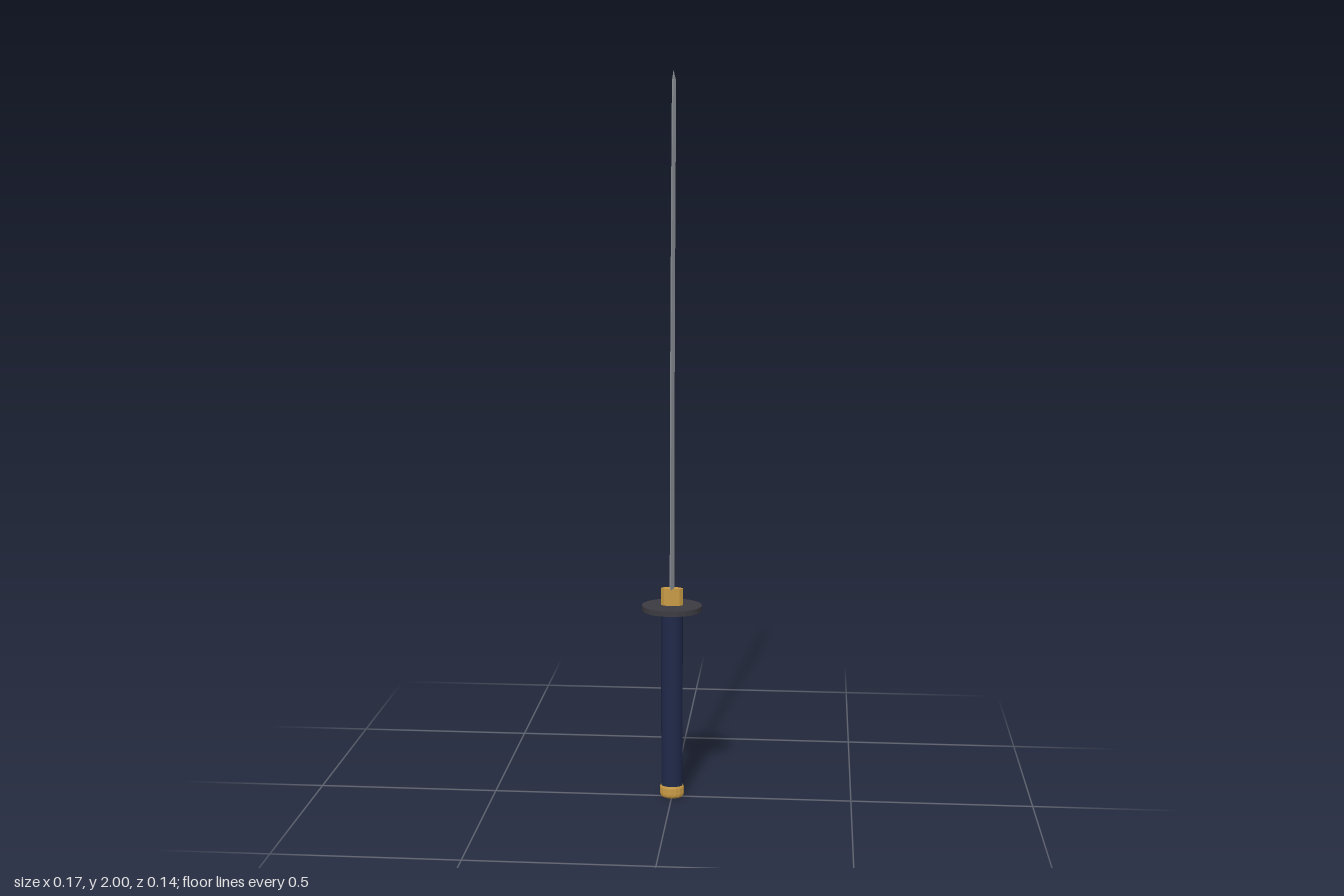
import * as THREE from 'three';

const paint = (color, flat = false) => {
  const m = new THREE.MeshStandardMaterial({ color });
  m.flatShading = flat;
  return m;
};

// Oval solid turned from [radius, height] points, radius 1 = full half-widths
function oval(name, profile, sides, halfX, halfZ, material) {
  const points = profile.map(([r, y]) => new THREE.Vector2(r, y));
  let geometry = new THREE.LatheGeometry(points, sides, Math.PI / 2);
  geometry.scale(halfX, 1, halfZ);
  const mesh = new THREE.Mesh(geometry, material);
  mesh.name = name;
  return mesh;
}

// Curved single-edged blade lofted through slanted five-sided sections
function bladeGeometry() {
  // edge height, edge z, spine height, spine z, half thickness
  const stations = [
    [0.60, 0.031, 0.60, -0.016, 0.0065],
    [0.75, 0.029, 0.75, -0.017, 0.0065],
    [0.92, 0.026, 0.92, -0.019, 0.0065],
    [1.15, 0.018, 1.15, -0.025, 0.0063],
    [1.30, 0.010, 1.30, -0.031, 0.0061],
    [1.45, 0.002, 1.45, -0.040, 0.006],
    [1.60, -0.009, 1.60, -0.050, 0.006],
    [1.72, -0.019, 1.72, -0.058, 0.006],
    [1.83, -0.028, 1.82, -0.064, 0.006],
    [1.90, -0.037, 1.88, -0.069, 0.006],
    [2.00, -0.051, 1.965, -0.071, 0.005],
  ];
  // section corners: side offset, then fraction of the way from edge to spine
  const corners = [[0, 0], [1, 0.75], [0.5, 1], [-0.5, 1], [-1, 0.75]];
  const n = corners.length;
  const positions = [], index = [];
  for (const [ey, ez, sy, sz, t] of stations)
    for (const [side, f] of corners)
      positions.push(side * t, ey + (sy - ey) * f, ez + (sz - ez) * f);
  for (let i = 0; i < stations.length - 1; i++)
    for (let j = 0; j < n; j++) {
      const a = i * n + j, b = i * n + (j + 1) % n;
      index.push(a, b, b + n, a, b + n, a + n);
    }
  const top = (stations.length - 1) * n;
  for (let j = 1; j < n - 1; j++)
    index.push(0, j + 1, j, top, top + j, top + j + 1);
  const geometry = new THREE.BufferGeometry();
  geometry.setAttribute('position', new THREE.Float32BufferAttribute(positions, 3));
  geometry.setIndex(index);
  geometry.computeVertexNormals();
  return geometry;
}

export function createModel() {
  const model = new THREE.Group();
  model.name = 'sword';
  const gold = paint(0xc89b45, true);

  const blade = new THREE.Mesh(bladeGeometry(), paint(0xa4a9b0, true));
  blade.name = 'blade';
  model.add(blade);

  // Collar between guard and blade
  model.add(oval('collar', [[0, 0.54], [1, 0.54], [1, 0.6], [0, 0.6]], 8, 0.03, 0.013, gold));

  // Thin oval hand guard
  model.add(oval('guard', [[0, 0.537], [1, 0.537], [1, 0.552], [0, 0.552]], 24, 0.083, 0.072,
    paint(0x3b3b41, true)));

  // Wrapped grip
  model.add(oval('grip', [[1, 0.03], [1, 0.54]], 16, 0.03, 0.023, paint(0x1f2848)));

  // Pommel cap with softened rims
  model.add(oval('pommel',
    [[0, 0], [0.82, 0], [0.96, 0.005], [1, 0.011], [1, 0.028], [0.94, 0.034], [0, 0.034]],
    16, 0.034, 0.026, gold));

  return model;
}
